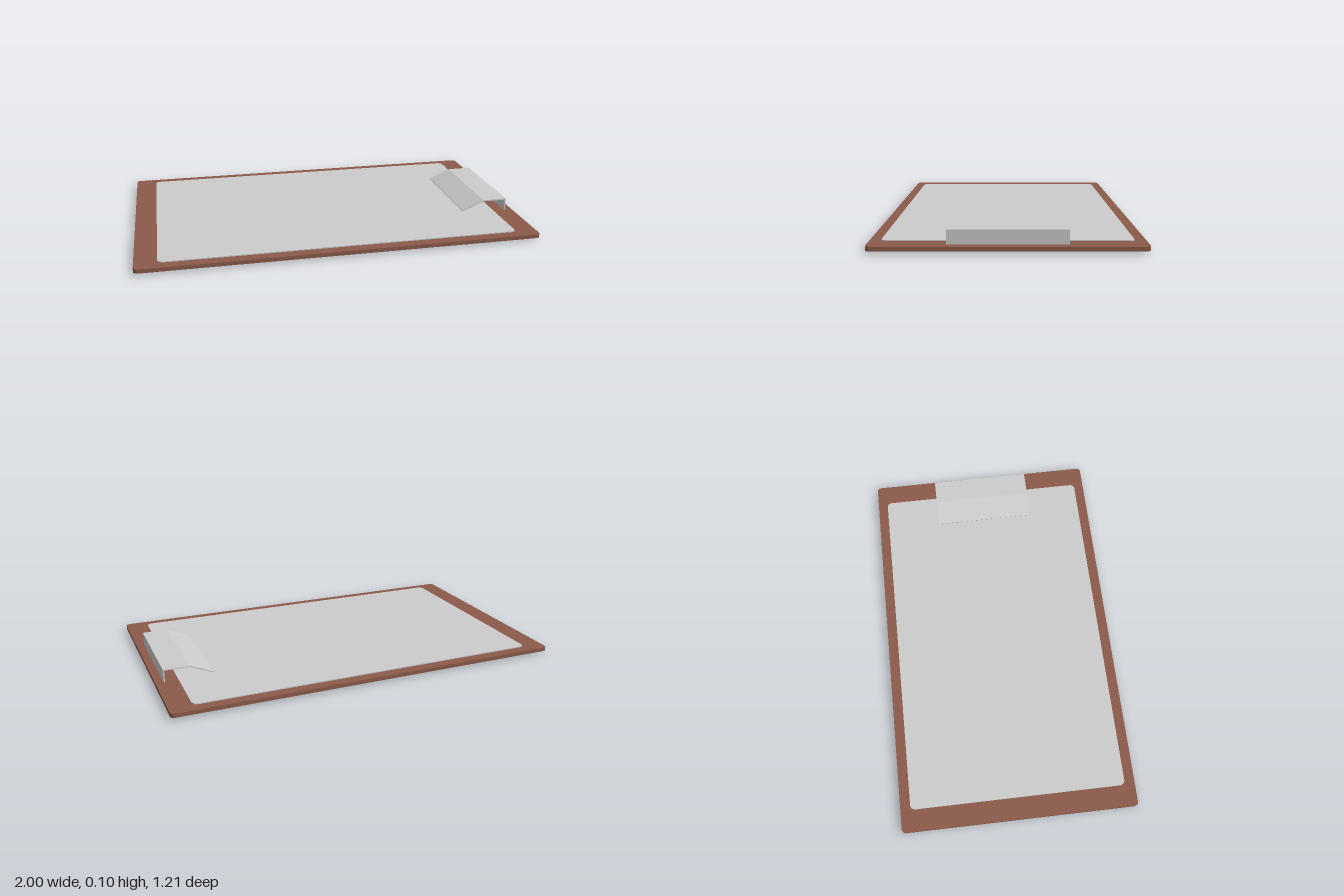
import * as THREE from 'three';

const grey = new THREE.MeshStandardMaterial({ color: 0xcccccc });
const brown = new THREE.MeshStandardMaterial({ color: 0x8a5a4a });

// Flat slab with rounded corners, lying between heights y0 and y1
function slab(name, halfX, halfZ, radius, y0, y1, material) {
  const s = new THREE.Shape();
  s.moveTo(halfX, -halfZ + radius);
  s.absarc(halfX - radius, halfZ - radius, radius, 0, Math.PI / 2);
  s.absarc(-halfX + radius, halfZ - radius, radius, Math.PI / 2, Math.PI);
  s.absarc(-halfX + radius, -halfZ + radius, radius, Math.PI, Math.PI * 1.5);
  s.absarc(halfX - radius, -halfZ + radius, radius, Math.PI * 1.5, Math.PI * 2);
  const geo = new THREE.ExtrudeGeometry(s, { depth: y1 - y0, bevelEnabled: false, curveSegments: 6 });
  geo.rotateX(-Math.PI / 2).translate(0, y0, 0);
  const mesh = new THREE.Mesh(geo, material);
  mesh.name = name;
  return mesh;
}

export function createModel() {
  const model = new THREE.Group();
  model.name = 'clipboard';

  model.add(slab('board', 1, 0.605, 0.02, 0.011, 0.031, brown));
  model.add(slab('paper', 0.89, 0.553, 0.025, 0.031, 0.036, grey));

  // Bent sheet-metal clip: upright back, flat top, sloping jaw
  const profile = [
    [0.96, 0.031], [0.96, 0.096], [0.832, 0.096], [0.715, 0.046],
    [0.717, 0.041], [0.834, 0.09], [0.954, 0.09], [0.954, 0.031],
  ].map(([x, y]) => new THREE.Vector2(x, y));
  const clipGeo = new THREE.ExtrudeGeometry(new THREE.Shape(profile), { depth: 0.526, bevelEnabled: false });
  clipGeo.translate(0, 0, -0.263);
  const clip = new THREE.Mesh(clipGeo, grey);
  clip.name = 'clip';
  model.add(clip);

  // Plain label sheet under the board, facing down
  const label = new THREE.Mesh(new THREE.PlaneGeometry(1.17, 0.98).rotateX(Math.PI / 2), grey);
  label.name = 'backLabel';
  model.add(label);

  return model;
}
